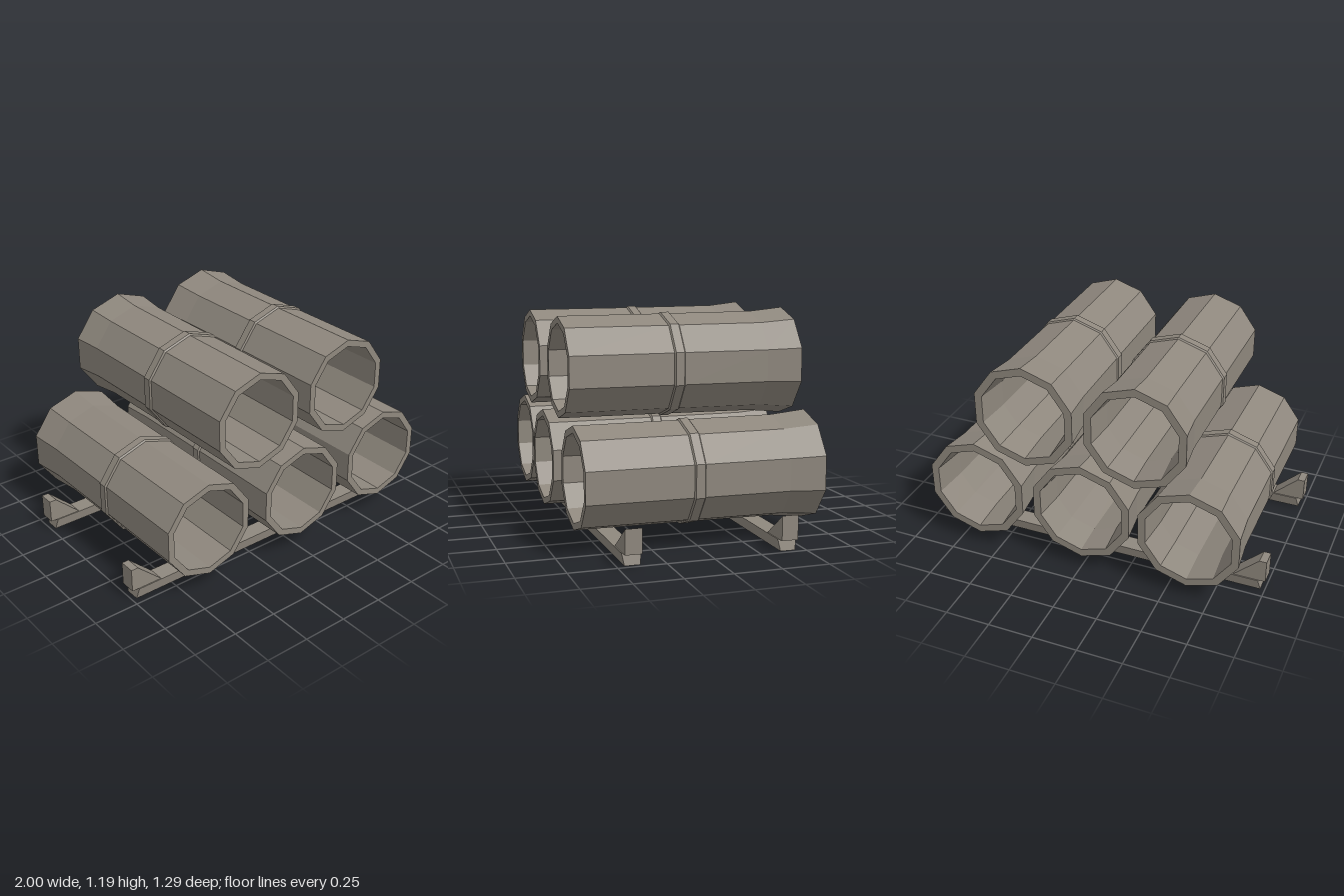
import * as THREE from 'three';

const concrete = new THREE.MeshStandardMaterial({ color: 0x8f887e, flatShading: true });
concrete.name = 'weathered concrete';

// Ten-sided hollow pipe along z, flared at the back with a thin collar mid-length
function pipeGeometry(shift) {
  const back = shift - 0.65, front = shift + 0.625;
  const profile = [
    [0.25, back], [0.295, back], [0.276, -0.46], [0.273, 0.005],
    [0.281, 0.012], [0.281, 0.058], [0.272, 0.065],
    [0.27, front], [0.233, front], [0.233, -0.45], [0.25, back],
  ].map(([r, z]) => new THREE.Vector2(r, z));
  return new THREE.LatheGeometry(profile, 10).rotateX(Math.PI / 2);
}

// Prism with its outline in x/y, centred on z = 0
function prism(points, depth) {
  const shape = new THREE.Shape(points.map(([x, y]) => new THREE.Vector2(x, y)));
  return new THREE.ExtrudeGeometry(shape, { depth, bevelEnabled: false }).translate(0, 0, -depth / 2);
}

// Bar with slightly narrower underside
function railGeometry() {
  const g = new THREE.BoxGeometry(1.95, 0.06, 0.1).translate(0, 0.03, 0);
  const p = g.attributes.position;
  for (let i = 0; i < p.count; i++) {
    if (p.getY(i) < 0.03) p.setZ(i, p.getZ(i) * 0.8);
    else p.setX(i, p.getX(i) * 0.985);
  }
  return g;
}

export function createModel() {
  const model = new THREE.Group();
  model.name = 'pipeStack';
  const add = (name, geometry, x, y, z) => {
    const mesh = new THREE.Mesh(geometry, concrete);
    mesh.name = name;
    mesh.position.set(x, y, z);
    model.add(mesh);
  };

  // Three pipes below, two resting above; some pushed slightly forward
  [
    ['lowerRightPipe', -0.62, 0.365, 0],
    ['lowerMiddlePipe', 0, 0.365, 0.02],
    ['lowerLeftPipe', 0.62, 0.37, 0],
    ['upperRightPipe', -0.31, 0.9, 0.02],
    ['upperLeftPipe', 0.307, 0.9, 0],
  ].forEach(([name, x, y, shift]) => add(name, pipeGeometry(shift), x, y, 0));

  // Two support rails with a chock at each end
  const blunt = [[-1, 0.06], [-0.82, 0.06], [-0.96, 0.19], [-1, 0.19]];
  const sharp = [[0.82, 0.06], [1, 0.06], [1, 0.19]];
  [['front', 0.42], ['back', -0.405]].forEach(([end, z]) => {
    add(end + 'Rail', railGeometry(), 0, 0, z);
    add(end + 'RightChock', prism(blunt, 0.088), 0, 0, z);
    add(end + 'LeftChock', prism(sharp, 0.088), 0, 0, z);
  });
  return model;
}
